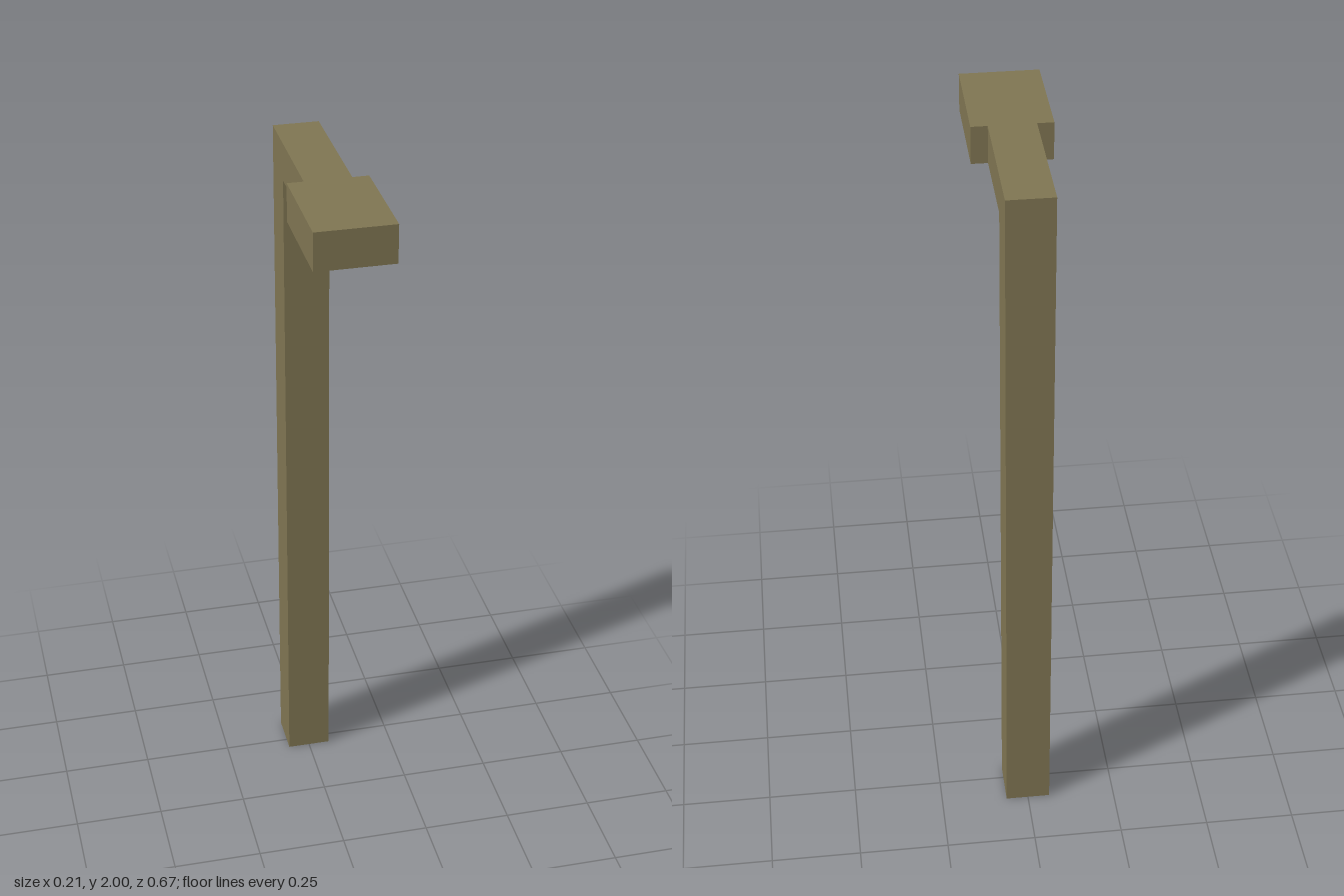
import * as THREE from 'three';

export function createModel() {
  const group = new THREE.Group();
  const material = new THREE.MeshStandardMaterial({ color: 0x7f7552, flatShading: true });

  const halfDepth = 0.337;
  const armBottom = 1.895;
  const headBack = -(-0.04);
  const postWidth = 0.125;

  // Upright post and forward arm: one L-shaped side profile (z, y), extruded across x
  const profile = new THREE.Shape([
    [-halfDepth, 0],
    [-halfDepth + postWidth, 0],
    [-halfDepth + postWidth, armBottom],
    [headBack, armBottom],
    [headBack, 2],
    [-halfDepth, 2],
  ].map(([z, y]) => new THREE.Vector2(z, y)));
  const postGeometry = new THREE.ExtrudeGeometry(profile, { depth: postWidth, bevelEnabled: false });
  postGeometry.translate(0, 0, -postWidth / 2).rotateY(-Math.PI / 2);
  const post = new THREE.Mesh(postGeometry, material);
  post.name = 'postAndArm';
  group.add(post);

  // Wider lamp head at the end of the arm
  const head = new THREE.Mesh(
    new THREE.BoxGeometry(0.213, 2 - armBottom, halfDepth - headBack), material);
  head.position.set(0, (2 + armBottom) / 2, (halfDepth + headBack) / 2);
  head.name = 'lampHead';
  group.add(head);

  return group;
}
